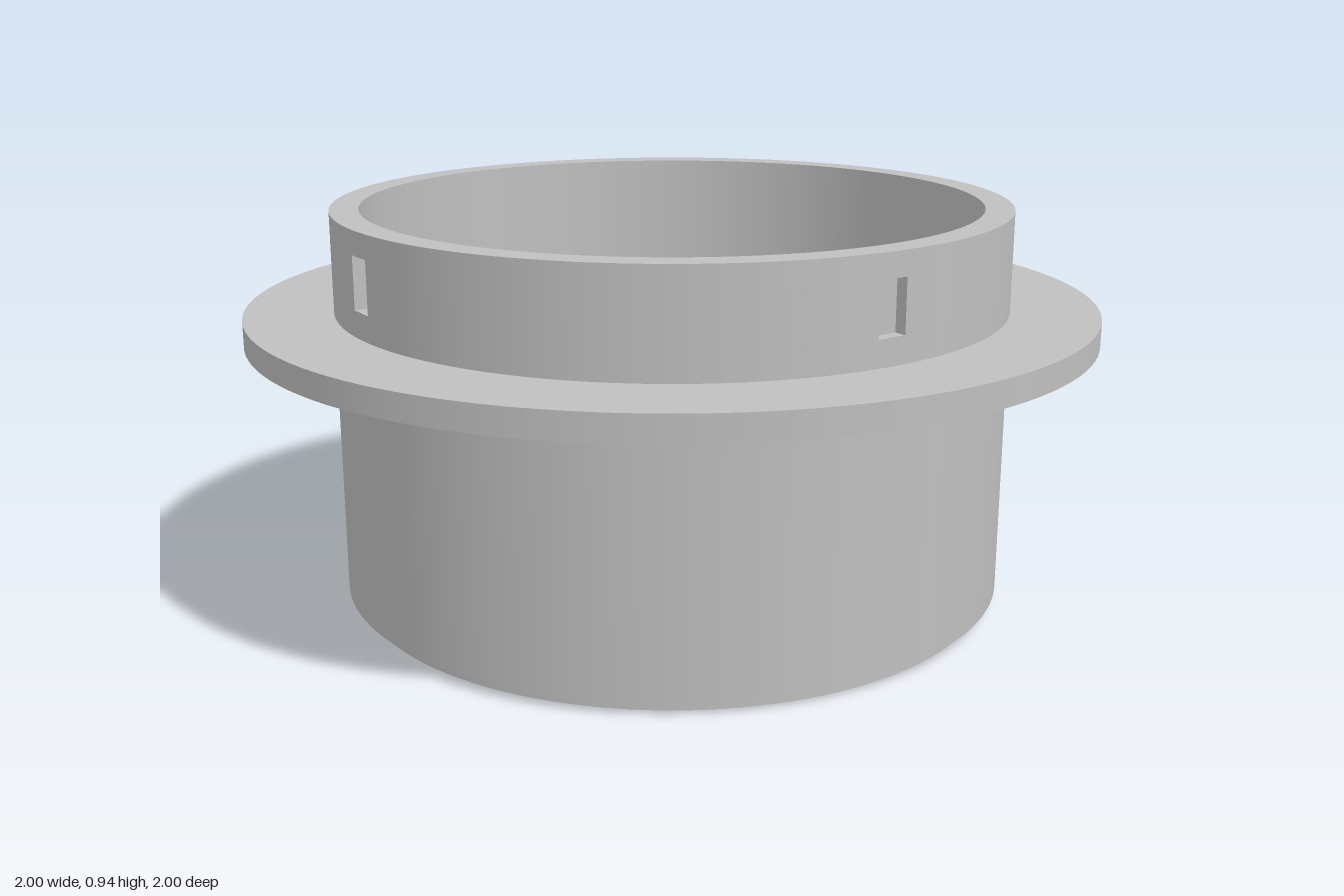
import * as THREE from 'three';
import { mergeGeometries } from 'three/addons/utils/BufferGeometryUtils.js';

const R_IN = 0.728, R_OUT = 0.795, R_LIP = 0.765, R_FLANGE = 1;
const HEIGHT = 0.94, SLOT_LOW = 0.765, SLOT_HIGH = 0.885, SLOT_HALF = 0.035, SLOT_DEPTH = 0.03;

// Revolves each straight piece of a profile separately so its corners stay crisp
function revolve(profile, segments = 128, start = 0, sweep = Math.PI * 2) {
  const pieces = [];
  for (let i = 0; i < profile.length - 1; i++) {
    const pair = [profile[i], profile[i + 1]].map(([r, y]) => new THREE.Vector2(r, y));
    pieces.push(new THREE.LatheGeometry(pair, segments, start, sweep));
  }
  return mergeGeometries(pieces);
}

export function createModel() {
  const model = new THREE.Group();
  model.name = 'flangedCollar';
  const grey = new THREE.MeshStandardMaterial({ color: 0xbfbfbf });
  grey.name = 'plain grey';

  const add = (name, geometry) => {
    const mesh = new THREE.Mesh(geometry, grey);
    mesh.name = name;
    model.add(mesh);
    return mesh;
  };

  // Tube below the flange, with the stepped lip at its foot
  add('lowerSleeve', revolve([
    [R_IN, 0], [R_LIP, 0], [R_LIP, 0.03], [R_OUT, 0.03], [R_OUT, 0.645],
  ]));

  // Flat mounting ring
  add('flange', revolve([
    [R_OUT, 0.645], [R_FLANGE, 0.645], [R_FLANGE, 0.705], [R_OUT, 0.705],
  ]));

  // Wall above the flange, rim and bore
  add('upperSleeve', revolve([[R_OUT, 0.705], [R_OUT, SLOT_LOW]]));
  add('rimAndBore', revolve([
    [R_OUT, SLOT_HIGH], [R_OUT, HEIGHT], [R_IN, HEIGHT], [R_IN, 0],
  ]));

  // Outer wall between the slots, and a shallow blind pocket in each slot
  const gap = Math.asin(SLOT_HALF / R_OUT);
  const mouth = R_OUT * Math.cos(gap);
  for (let i = 0; i < 4; i++) {
    const angle = i * Math.PI / 2;
    add('slotBandWall', revolve(
      [[R_OUT, SLOT_LOW], [R_OUT, SLOT_HIGH]], 32, angle + gap, Math.PI / 2 - 2 * gap));

    // A box turned inside out shows only its inner walls
    const pocket = new THREE.BoxGeometry(SLOT_HALF * 2, SLOT_HIGH - SLOT_LOW, SLOT_DEPTH);
    pocket.index.array.reverse();
    pocket.computeVertexNormals();
    pocket.translate(0, (SLOT_LOW + SLOT_HIGH) / 2, mouth - SLOT_DEPTH / 2);
    add('slotPocket', pocket).rotation.y = angle;
  }
  return model;
}
